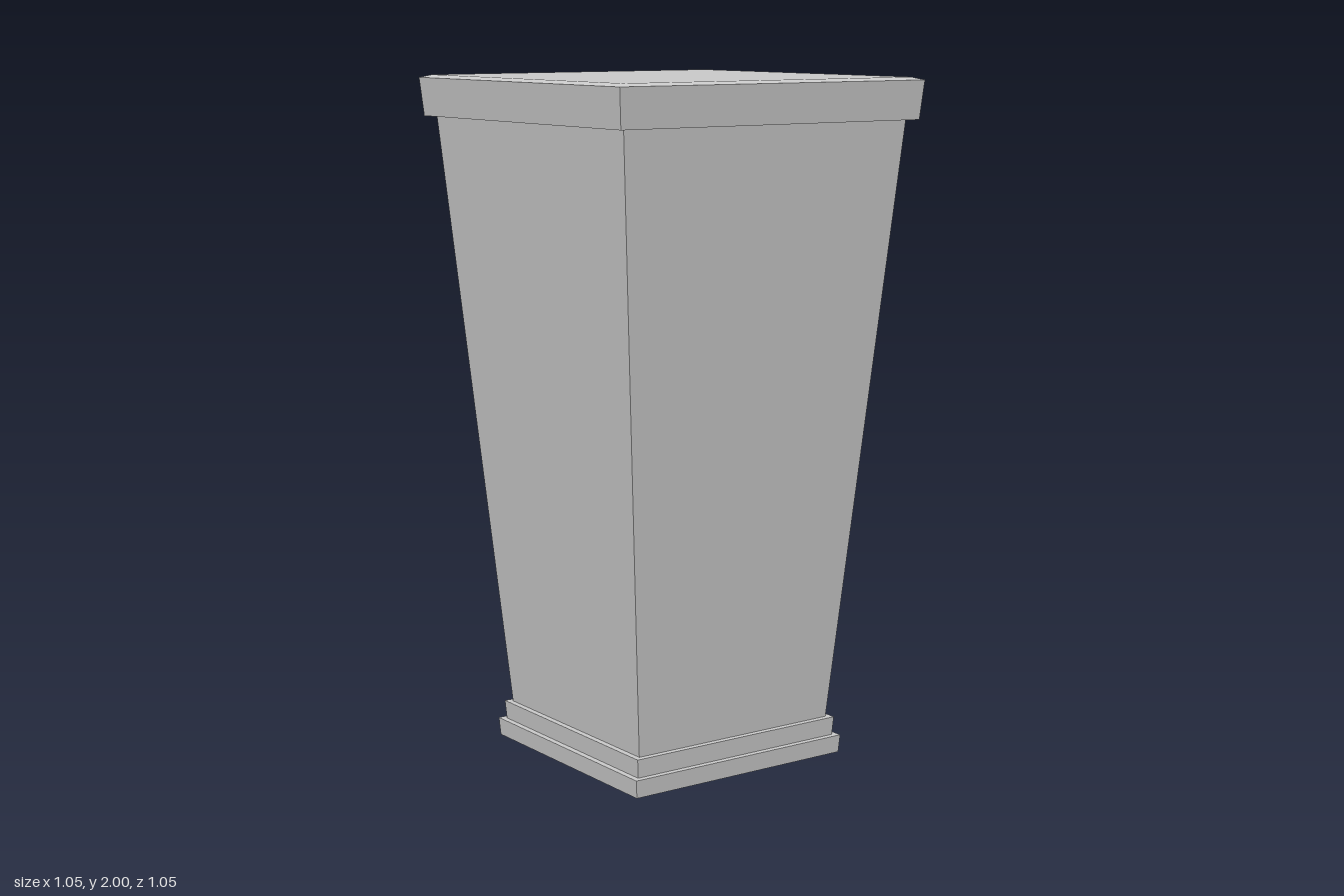
import * as THREE from 'three';

const material = new THREE.MeshStandardMaterial({
  color: 0xcccccc, flatShading: true, side: THREE.DoubleSide,
});

// Square shell swept around y from [half width, height] pairs
function squareShell(name, profile) {
  const points = profile.map(([half, y]) => new THREE.Vector2(half * Math.SQRT2, y));
  const geometry = new THREE.LatheGeometry(points, 4, Math.PI / 4).toNonIndexed();
  geometry.computeVertexNormals();
  const mesh = new THREE.Mesh(geometry, material);
  mesh.name = name;
  return mesh;
}

export function createModel() {
  const group = new THREE.Group();
  group.name = 'taperedPedestal';
  group.add(
    // Stepped foot, hollow and open underneath
    squareShell('plinth', [[0.366, 0], [0.37, 0.053], [0.352, 0.053]]),
    squareShell('baseMoulding', [[0.352, 0.053], [0.356, 0.108], [0.338, 0.108]]),
    // Shaft widening upwards
    squareShell('shaft', [[0.338, 0.108], [0.486, 1.88]]),
    // Overhanging cap with a shallow bevel and closed top
    squareShell('cap', [[0.486, 1.88], [0.513, 1.88], [0.523, 1.992], [0.495, 2], [0, 2]]),
  );
  return group;
}
